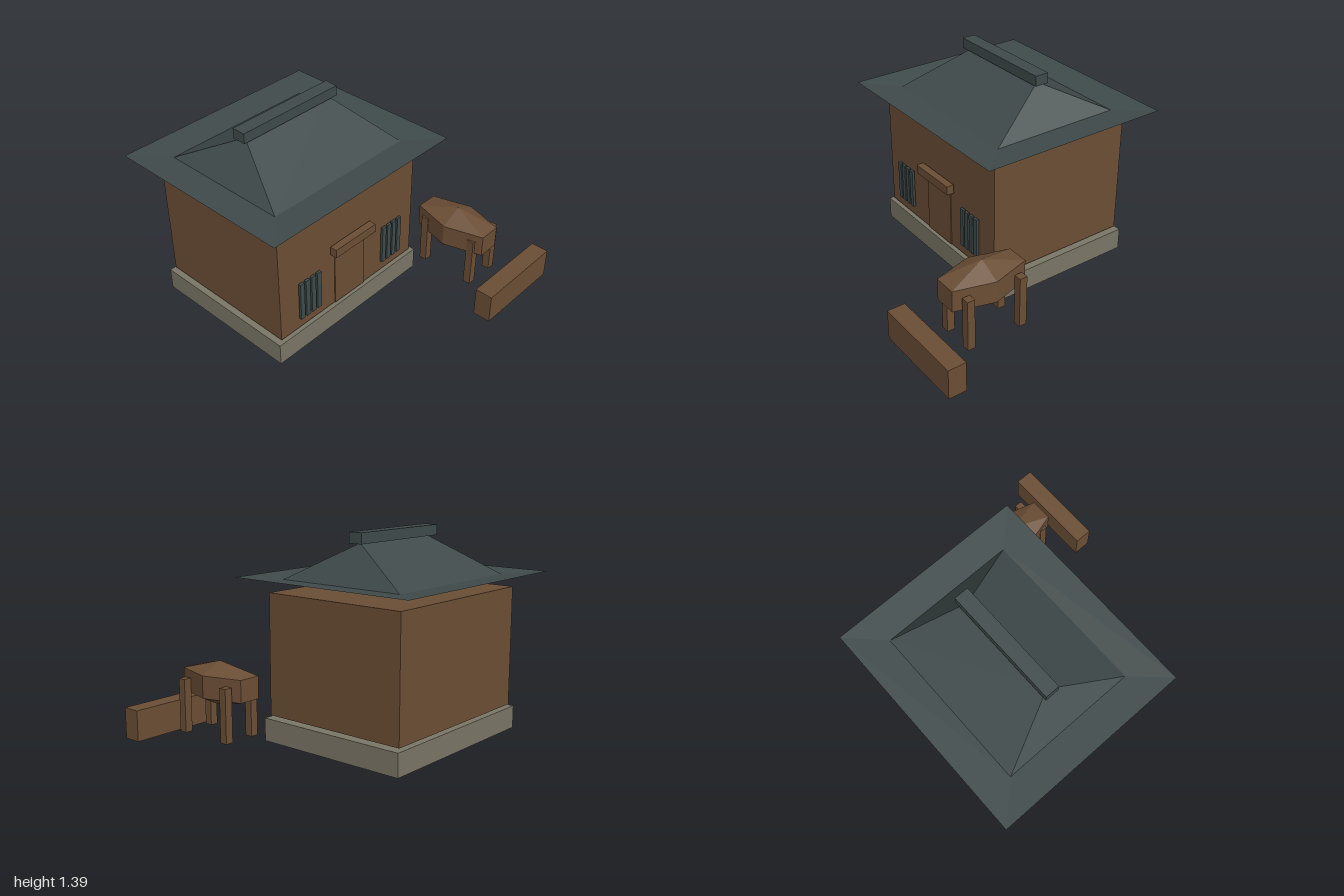
import * as THREE from 'three';

export function createModel() {
  const model = new THREE.Group();
  model.name = 'hallWithCauldron';

  const material = (name, color) => {
    const m = new THREE.MeshStandardMaterial({ color, flatShading: true, side: THREE.DoubleSide });
    m.name = name;
    return m;
  };
  const wood = material('brown wood', 0x6b4e35);
  const tile = material('slate tile', 0x3f4a4a);
  const stone = material('grey stone', 0x7a7566);

  const add = (name, geometry, mat, parent = model) => {
    const mesh = new THREE.Mesh(geometry, mat);
    mesh.name = name;
    parent.add(mesh);
    return mesh;
  };

  // Box from its limits, open underneath
  const block = (name, mat, [x0, x1], [y0, y1], [z0, z1], parent) => {
    const g = new THREE.BoxGeometry(x1 - x0, y1 - y0, z1 - z0);
    const index = Array.from(g.index.array);
    index.splice(18, 6);
    g.setIndex(index);
    g.clearGroups();
    g.translate((x0 + x1) / 2, (y0 + y1) / 2, (z0 + z1) / 2);
    return add(name, g, mat, parent);
  };

  // Building
  block('plinth', stone, [-0.88, 0.436], [0, 0.155], [-0.845, 0.245]);
  block('walls', wood, [-0.845, 0.4], [0.17, 0.985], [-0.825, 0.225]);
  block('door', wood, [-0.36, -0.085], [0.17, 0.605], [0.225, 0.231]);
  block('lintel', wood, [-0.405, -0.037], [0.603, 0.665], [0.234, 0.286]);

  // Window bars on both sides of the door
  for (const [name, start] of [['rightWindow', -0.7], ['leftWindow', 0.07]]) {
    const grille = new THREE.Group();
    grille.name = name;
    model.add(grille);
    for (let i = 0; i < 4; i++) {
      const x = start + i * 0.05;
      block('windowBar', tile, [x, x + 0.036], [0.265, 0.55], [0.242, 0.26], grille);
    }
  }

  // Hipped roof: eave edge, foot of the slope, ridge line
  const cx = -0.222, cz = -0.306;
  const levels = [
    { w: 0.777, d: 0.684, y: 1.086 },
    { w: 0.562, d: 0.463, y: 1.07 },
    { w: 0.354, d: 0, y: 1.318 },
  ];
  const corners = [[-1, 1], [1, 1], [1, -1], [-1, -1]];
  const ring = ({ w, d, y }) =>
    corners.map(([sx, sz]) => new THREE.Vector3(cx + sx * w, y, cz + sz * d));
  const band = (lower, upper) => {
    const a = ring(lower), b = ring(upper), points = [];
    for (let i = 0; i < 4; i++) {
      const j = (i + 1) % 4;
      points.push(a[i], a[j], b[j]);
      if (b[i].distanceTo(b[j]) > 0.001) points.push(a[i], b[j], b[i]);
    }
    const g = new THREE.BufferGeometry().setFromPoints(points);
    g.computeVertexNormals();
    return g;
  };
  add('eaves', band(levels[0], levels[1]), tile);
  add('roofSlopes', band(levels[1], levels[2]), tile);
  block('ridgeBeam', tile, [-0.625, 0.181], [1.316, 1.387], [-0.355, -0.257]);

  // Faceted body on four legs
  const stand = new THREE.Group();
  stand.name = 'facetedBodyOnLegs';
  model.add(stand);
  const body = add('body', new THREE.SphereGeometry(1, 6, 3), wood, stand);
  body.scale.set(0.179, 0.15, 0.362);
  body.position.set(0.611, 0.39, 0.473);
  for (const x of [0.499, 0.72])
    for (const z of [0.252, 0.64])
      block('leg', wood, [x, x + 0.055], [0.055, 0.415], [z, z + 0.054], stand);

  // Trough in front
  block('trough', wood, [0.333, 0.998], [0, 0.21], [0.86, 0.985]);

  return model;
}
